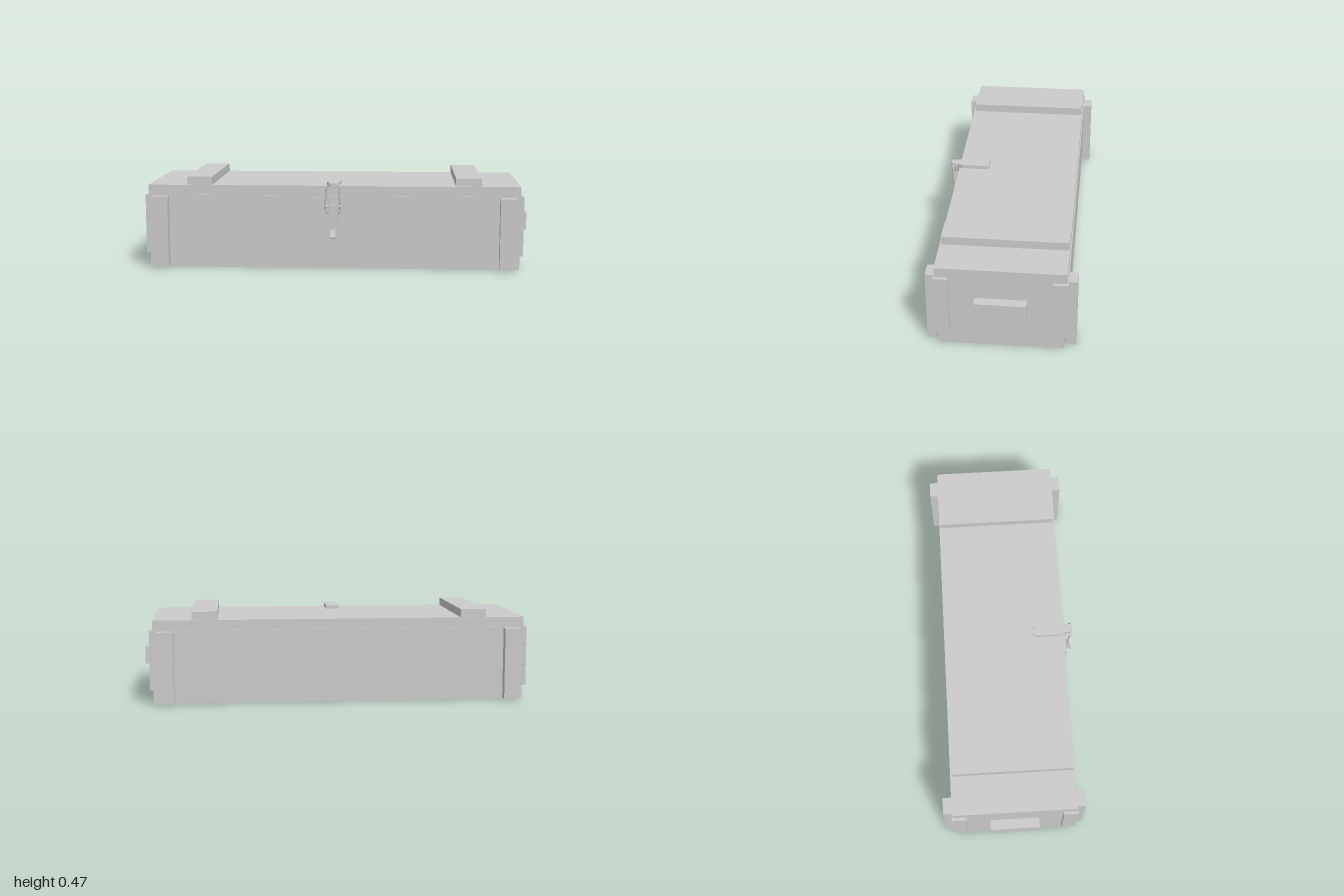
import * as THREE from 'three';

const material = new THREE.MeshStandardMaterial({ color: 0xcccccc, flatShading: true });
const smooth = new THREE.MeshStandardMaterial({ color: 0xcccccc });

export function createModel() {
  const root = new THREE.Group();
  root.name = 'woodenCrate';

  const add = (name, geometry, mat = material, parent = root) => {
    const mesh = new THREE.Mesh(geometry, mat);
    mesh.name = name;
    parent.add(mesh);
    return mesh;
  };
  // Box given by its extents along each axis
  const box = (name, x0, x1, y0, y1, z0, z1, parent = root) => {
    const mesh = add(name, new THREE.BoxGeometry(x1 - x0, y1 - y0, z1 - z0), material, parent);
    mesh.position.set((x0 + x1) / 2, (y0 + y1) / 2, (z0 + z1) / 2);
    return mesh;
  };

  // Main case: recessed base, wider side panels, lid
  box('base', -0.95, 0.95, 0, 0.08, -0.302, 0.298);
  box('body', -0.95, 0.95, 0.08, 0.378, -0.317, 0.312);
  box('lid', -0.95, 0.95, 0.378, 0.428, -0.312, 0.308);

  // Battens and handles, mirrored left and right
  for (const s of [-1, 1]) {
    const mirrored = (name, a, b, ...rest) => box(name, Math.min(s * a, s * b), Math.max(s * a, s * b), ...rest);
    mirrored('lidBatten', 0.622, 0.752, 0.428, 0.47, -0.308, 0.301);
    mirrored('handle', 0.95, 1, 0.181, 0.271, -0.127, 0.121);
    mirrored('frontBatten', 0.845, 0.927, 0.008, 0.373, 0.312, 0.355);
    mirrored('backBatten', 0.845, 0.927, 0.008, 0.373, -0.36, -0.317);
    mirrored('endBattenFront', 0.95, 0.966, 0.073, 0.378, 0.242, 0.313);
    mirrored('endBattenBack', 0.95, 0.966, 0.073, 0.378, -0.318, -0.246);
  }

  // Latch
  const latch = new THREE.Group();
  latch.name = 'latch';
  root.add(latch);
  box('latchPlate', -0.1, 0.1, 0.265, 0.37, 0.312, 0.321, latch);

  // Strap on the lid, narrowing to a hook past the front edge
  const strap = new THREE.Shape([
    [-0.034, -0.152], [0.034, -0.152], [0.034, -0.295], [0.022, -0.318],
    [0.022, -0.346], [0.012, -0.354], [-0.012, -0.354], [-0.022, -0.346],
    [-0.022, -0.318], [-0.034, -0.295],
  ].reverse().map(([x, y]) => new THREE.Vector2(x, y)));
  const strapMesh = add('lidStrap',
    new THREE.ExtrudeGeometry(strap, { depth: 0.018, bevelEnabled: false }), material, latch);
  strapMesh.rotation.x = -Math.PI / 2;
  strapMesh.position.y = 0.428;

  // Wire loop hooked over the strap
  const wire = new THREE.CurvePath();
  const points = [
    [-0.02, 0.287, 0.331], [-0.038, 0.305, 0.332], [-0.038, 0.355, 0.336], [-0.032, 0.385, 0.338],
    [-0.032, 0.425, 0.343], [-0.023, 0.438, 0.344], [0.023, 0.438, 0.344], [0.032, 0.425, 0.343],
    [0.032, 0.385, 0.338], [0.038, 0.355, 0.336], [0.038, 0.305, 0.332], [0.02, 0.287, 0.331],
  ].map((p) => new THREE.Vector3(...p));
  points.forEach((p, i) => wire.add(new THREE.LineCurve3(p, points[(i + 1) % points.length])));
  add('wireLoop', new THREE.TubeGeometry(wire, 72, 0.005, 8, true), smooth, latch);

  // Pivot pin and its side brackets
  const pin = add('pivotPin', new THREE.CylinderGeometry(0.008, 0.008, 0.084, 12), smooth, latch);
  pin.rotation.z = Math.PI / 2;
  pin.position.set(0, 0.325, 0.333);
  for (const s of [-1, 1]) {
    box('pivotBracket', s * 0.028 - 0.003, s * 0.028 + 0.003, 0.295, 0.365, 0.319, 0.342, latch);
  }

  // Lever: broad at the pivot, slim below, with a tail bent outwards
  box('leverBody', -0.024, 0.024, 0.24, 0.335, 0.325, 0.343, latch);
  const tailSide = new THREE.Shape([
    [0.328, 0.245], [0.326, 0.205], [0.352, 0.162], [0.359, 0.166],
    [0.359, 0.174], [0.342, 0.21], [0.342, 0.245],
  ].map(([z, y]) => new THREE.Vector2(-z, y)));
  const tail = add('leverTail',
    new THREE.ExtrudeGeometry(tailSide, { depth: 0.028, bevelEnabled: false }), material, latch);
  tail.rotation.y = Math.PI / 2;
  tail.position.x = -0.014;
  // Shape x runs along -z after the turn, matching the negated profile

  return root;
}
